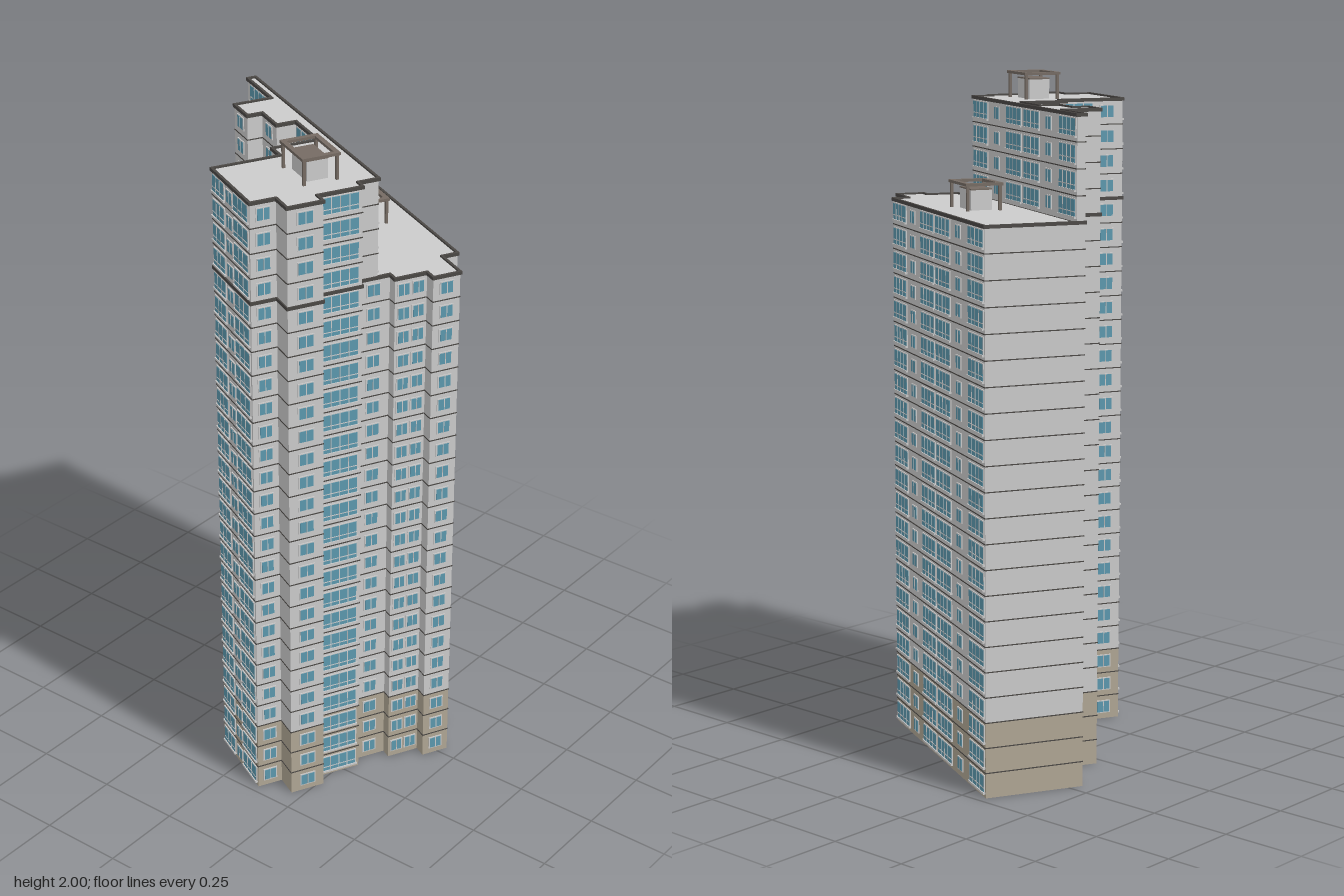
import * as THREE from 'three';
import { mergeGeometries } from 'three/addons/utils/BufferGeometryUtils.js';

const FLOOR = 1.92 / 26, BASE = 3, LOW = 22, HIGH = 26;

// Footprint corners [across, along], each with the window columns [position 0-1, width]
// of the wall that runs from that corner to the next.
const LOW_ONLY = [
  [-0.015, -0.5, []],
  [0.281, -0.5, [[0.085, 0.115], [0.265, 0.034], [0.43, 0.115], [0.6, 0.11], [0.765, 0.034], [0.915, 0.11]]],
  [0.281, 0.279, []],
  [0.231, 0.279, [[0.5, 0.04]]],
  [0.231, 0.39, [[0.5, 0.036]]],
  [0.147, 0.39, []],
  [0.147, 0.352, [[0.27, 0.032], [0.73, 0.032]]],
  [0.048, 0.352, []],
  [0.048, 0.32, [[0.5, 0.036]]],
];
const SHARED = [
  [-0.053, 0.32, []],
  [-0.053, 0.351, [[0.5, 0.11]]],
  [-0.189, 0.351, []],
  [-0.189, 0.39, [[0.5, 0.042]]],
  [-0.295, 0.39, []],
  [-0.295, 0.32, [[0.5, 0.036]]],
  [-0.372, 0.32, [[0.22, 0.09], [0.52, 0.034], [0.81, 0.075]]],
  [-0.372, 0.065, [[0.25, 0.04], [0.7, 0.09]]],
  [-0.166, 0.065, []],
  [-0.166, 0.009, [[0.5, 0.09]]],
  [-0.025, 0.009, [[0.5, 0.12]]],
  [-0.025, -0.139, []],
  [-0.085, -0.139, [[0.5, 0.036]]],
  [-0.085, -0.238, []],
  [-0.132, -0.238, [[0.5, 0.036]]],
  [-0.132, -0.329, []],
  [-0.015, -0.329, [[0.5, 0.12]]],
];
const lowPlan = [...LOW_ONLY, ...SHARED];
const highPlan = [
  [-0.015, -0.5, []],
  [0.01, -0.5, [[0.08, 0.115], [0.25, 0.034], [0.41, 0.115], [0.58, 0.115], [0.75, 0.034], [0.915, 0.115]]],
  [0.01, 0.32, []],
  ...SHARED,
];

const COLORS = {
  walls: 0xcccccc, baseWalls: 0xb0a694, windowFrames: 0xdedede,
  glass: 0x5c98ae, trim: 0x4b4845, pergola: 0x756b63,
};

export function createModel() {
  const model = new THREE.Group();
  const building = new THREE.Group();
  building.name = 'apartmentTower';
  building.rotation.y = -0.4668;
  model.add(building);

  const mats = {};
  for (const k in COLORS) mats[k] = new THREE.MeshStandardMaterial({ color: COLORS[k] });

  function add(name, geo, mat, parent = building) {
    const mesh = new THREE.Mesh(geo, mats[mat]);
    mesh.name = name;
    parent.add(mesh);
    return mesh;
  }

  // Solid block of the tower between two heights
  function block(name, plan, y0, y1, mat) {
    const shape = new THREE.Shape(plan.map(([x, z]) => new THREE.Vector2(x, z)));
    const geo = new THREE.ExtrudeGeometry(shape, { depth: y1 - y0, bevelEnabled: false });
    geo.rotateX(Math.PI / 2).translate(0, y1, 0);
    add(name, geo, mat);
  }
  block('baseWalls', lowPlan, 0, BASE * FLOOR, 'baseWalls');
  block('mainWalls', lowPlan, BASE * FLOOR, LOW * FLOOR, 'walls');
  block('upperWalls', highPlan, LOW * FLOOR, HIGH * FLOOR, 'walls');

  const parts = { windowFrames: [], glass: [], trim: [] };

  // Returns a function that puts boxes on the wall from a to b
  function wallTool(a, b) {
    const dx = b[0] - a[0], dz = b[1] - a[1], len = Math.hypot(dx, dz);
    const nx = dz / len, nz = -dx / len;
    const put = (kind, s, y, w, h, d) => {
      const geo = new THREE.BoxGeometry(w, h, d);
      geo.rotateY(Math.atan2(nx, nz));
      parts[kind].push(geo.translate(a[0] + dx * s / len, y, a[1] + dz * s / len));
    };
    return { put, len };
  }

  // Frame, glass, mullions and, on wide windows, a railing with a sill
  function windowUnit(put, s, y, w) {
    const wide = w > 0.06, h = wide ? 0.05 : 0.034;
    put('windowFrames', s, y, w + 0.008, h + 0.006, 0.006);
    put('glass', s, y, w, h, 0.008);
    const panes = wide ? Math.round(w / 0.028) : 2;
    for (let i = 1; i < panes; i++) put('windowFrames', s - w / 2 + w * i / panes, y, 0.0025, h, 0.010);
    if (wide) {
      put('windowFrames', s, y - 0.009, w, 0.0025, 0.010);
      put('windowFrames', s, y - h / 2, w + 0.01, 0.006, 0.014);
    }
  }

  // Windows and floor lines for floors f0 to f1, with a parapet on top
  function facade(plan, f0, f1) {
    plan.forEach((a, i) => {
      const { put, len } = wallTool(a, plan[(i + 1) % plan.length]);
      for (let f = f0; f < f1; f++) {
        for (const [t, w] of a[2]) windowUnit(put, t * len, (f + 0.52) * FLOOR, w);
        if (f > 0) put('trim', len / 2, f * FLOOR, len + 0.002, 0.003, 0.003);
      }
      put('trim', len / 2, f1 * FLOOR, len + 0.008, 0.010, 0.008);
    });
  }
  facade(lowPlan, 0, LOW);
  facade(highPlan, LOW, HIGH);
  for (const k in parts) add(k === 'trim' ? 'floorLinesAndParapets' : k, mergeGeometries(parts[k]), k);

  // Roof hut under an open rectangular frame on four posts
  function roofPergola(name, x, y, z) {
    const group = new THREE.Group();
    group.name = name;
    group.position.set(x, y, z);
    building.add(group);
    const box = (n, mat, w, h, d, px, py, pz) =>
      add(n, new THREE.BoxGeometry(w, h, d), mat, group).position.set(px, py, pz);
    const W = 0.114, D = 0.148, B = 0.015, top = 0.08;
    box('hut', 'walls', 0.063, 0.058, 0.095, 0, 0.029, 0);
    box('hutRoof', 'pergola', 0.065, 0.004, 0.097, 0, 0.06, 0);
    for (const s of [-1, 1]) {
      box('sideBeam', 'pergola', B, 0.008, D, s * (W - B) / 2, top - 0.004, 0);
      box('endBeam', 'pergola', W - 2 * B, 0.008, B, 0, top - 0.004, s * (D - B) / 2);
      for (const t of [-1, 1])
        box('post', 'pergola', 0.008, top - 0.008, 0.008, s * (W - B) / 2, (top - 0.008) / 2, t * (D - B) / 2);
    }
  }
  roofPergola('upperRoofPergola', -0.142, HIGH * FLOOR, 0.207);
  roofPergola('lowerRoofPergola', 0.142, LOW * FLOOR, -0.057);

  return model;
}
